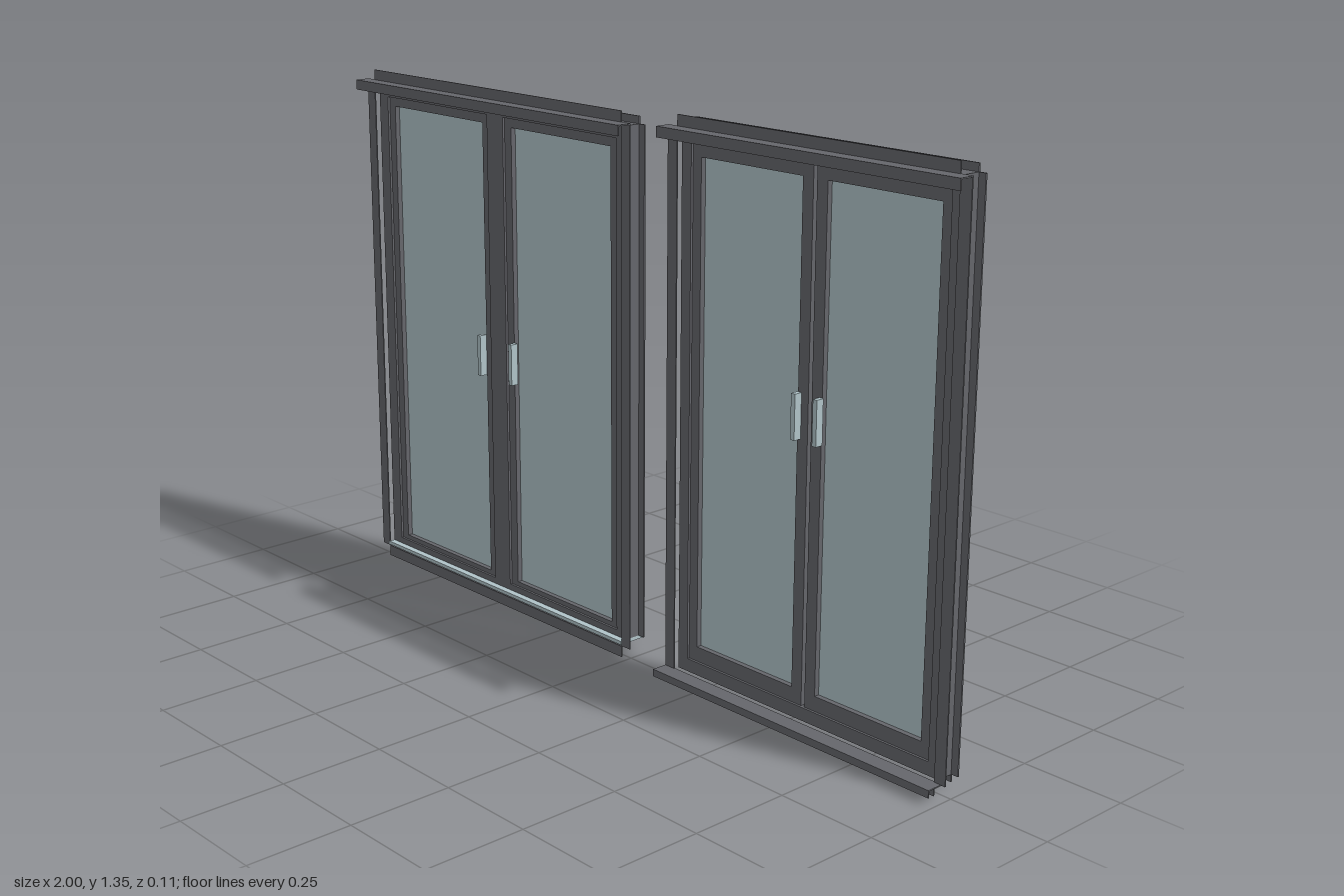
import * as THREE from 'three';

const frameMat = new THREE.MeshStandardMaterial({ color: 0x65666b });
frameMat.name = 'dark grey frame';
const glassMat = new THREE.MeshStandardMaterial({ color: 0xb0c3c8 });
glassMat.name = 'pale blue glass';

// Box given by its limits on each axis
function box(parent, name, [x0, x1], [y0, y1], [z0, z1], mat = frameMat) {
  const m = new THREE.Mesh(new THREE.BoxGeometry(x1 - x0, y1 - y0, z1 - z0), mat);
  m.position.set((x0 + x1) / 2, (y0 + y1) / 2, (z0 + z1) / 2);
  m.name = name;
  parent.add(m);
}

function rect(Type, [x0, x1], [y0, y1]) {
  const p = new Type();
  p.moveTo(x0, y0);
  p.lineTo(x1, y0);
  p.lineTo(x1, y1);
  p.lineTo(x0, y1);
  p.closePath();
  return p;
}

// Flat rectangular frame with any number of rectangular openings
function ring(parent, name, xs, ys, openings, [z0, z1]) {
  const shape = rect(THREE.Shape, xs, ys);
  for (const [hx, hy] of openings) shape.holes.push(rect(THREE.Path, hx, hy));
  const geo = new THREE.ExtrudeGeometry(shape, { depth: z1 - z0, bevelEnabled: false });
  const m = new THREE.Mesh(geo, frameMat);
  m.position.z = z0;
  m.name = name;
  parent.add(m);
}

function buildWindow(name, p) {
  const g = new THREE.Group();
  g.name = name;
  const [x0, x1] = p.x, [y0, y1] = p.y;

  // Fixed outer frame, its openings and two glazed sashes
  ring(g, 'outerFrame', p.x, p.y, p.openings, [-0.042, 0.002]);
  p.sashes.forEach((s, i) => {
    const side = i ? 'left' : 'right';
    const [gx0, gx1] = p.glass[i], [gy0, gy1] = p.glassY;
    ring(g, side + 'Sash', s[0], s[1], [[p.glass[i], p.glassY]], [-0.035, -0.004]);
    // Slim glazing bead behind the visible edge
    box(g, side + 'Glass', [gx0 - 0.002, gx1 + 0.002], [gy0 - 0.002, gy1 + 0.002], [-0.022, -0.017], glassMat);
    box(g, side + 'Handle', p.handles[i], p.handleY, [-0.004, 0.016], glassMat);
  });

  // Rear mounting flange with notched corners
  const back = [-0.043, -0.039];
  box(g, 'rearFlangeRight', [x0 - 0.018, x0 + 0.01], [y0, y1], back);
  box(g, 'rearFlangeLeft', [x1 - 0.01, x1 + 0.018], [y0, y1], back);
  box(g, 'rearFlangeTop', p.x, [y1 - 0.01, y1 + 0.018], back);

  // Thin front casing strips standing off the frame
  const front = [0.014, 0.017];
  box(g, 'sideCasingRight', [x0 - 0.03, x0], [0.032, p.trimTop], front);
  box(g, 'sideCasingLeft', [x1, x1 + 0.03], [0.032, p.trimTop], front);
  box(g, 'topCasing', p.x, [p.trimTop, p.trimTop + 0.026], front);
  box(g, 'bottomCasing', p.x, [p.bottom, 0.031], front);

  // Projecting head cap with a drip lip
  const capX = [x0 - 0.03, x1 + 0.03];
  box(g, 'headCap', capX, [p.trimTop - 0.003, p.trimTop], [0.014, 0.053]);
  box(g, 'headCapLip', capX, [p.trimTop - 0.025, p.trimTop], [0.05, 0.053]);

  if (p.threshold) {
    // Pale threshold running under the sashes
    box(g, 'threshold', p.x, [0.035, 0.044], [-0.058, 0.019], glassMat);
  } else {
    // Projecting sill cap and the lower flange
    box(g, 'sillCap', [x0 - 0.03, x1 + 0.018], [0.03, 0.033], [0.014, 0.056]);
    box(g, 'sillCapLip', [x0 - 0.03, x1 + 0.018], [0.015, 0.033], [0.053, 0.056]);
    box(g, 'rearFlangeBottom', p.x, [y0 - 0.018, y0 + 0.01], back);
  }
  return g;
}

export function createModel() {
  const model = new THREE.Group();
  model.name = 'windowPair';

  // Wide unit with a fixed centre mullion
  const wideY = [0.06, 1.27];
  const wideA = [-0.935, -0.525], wideB = [-0.463, -0.05];
  model.add(buildWindow('wideDoorUnit', {
    x: [-0.97, -0.016], y: [0.044, 1.302], trimTop: 1.312, bottom: 0.003, threshold: true,
    openings: [[wideA, wideY], [wideB, wideY]],
    sashes: [[wideA, wideY], [wideB, wideY]],
    glass: [[-0.912, -0.55], [-0.438, -0.075]], glassY: [0.072, 1.247],
    handles: [[-0.562, -0.55], [-0.438, -0.426]], handleY: [0.603, 0.708],
  }));

  // Narrow unit with two sashes meeting at an open gap
  const narrowY = [0.064, 1.29];
  model.add(buildWindow('narrowDoorUnit', {
    x: [0.17, 0.967], y: [0.032, 1.322], trimTop: 1.325, bottom: 0,
    openings: [[[0.2, 0.937], narrowY]],
    sashes: [[[0.2, 0.5625], narrowY], [[0.5725, 0.937], narrowY]],
    glass: [[0.226, 0.532], [0.603, 0.91]], glassY: [0.1, 1.26],
    handles: [[0.53, 0.542], [0.594, 0.606]], handleY: [0.685, 0.79],
  }));

  return model;
}
